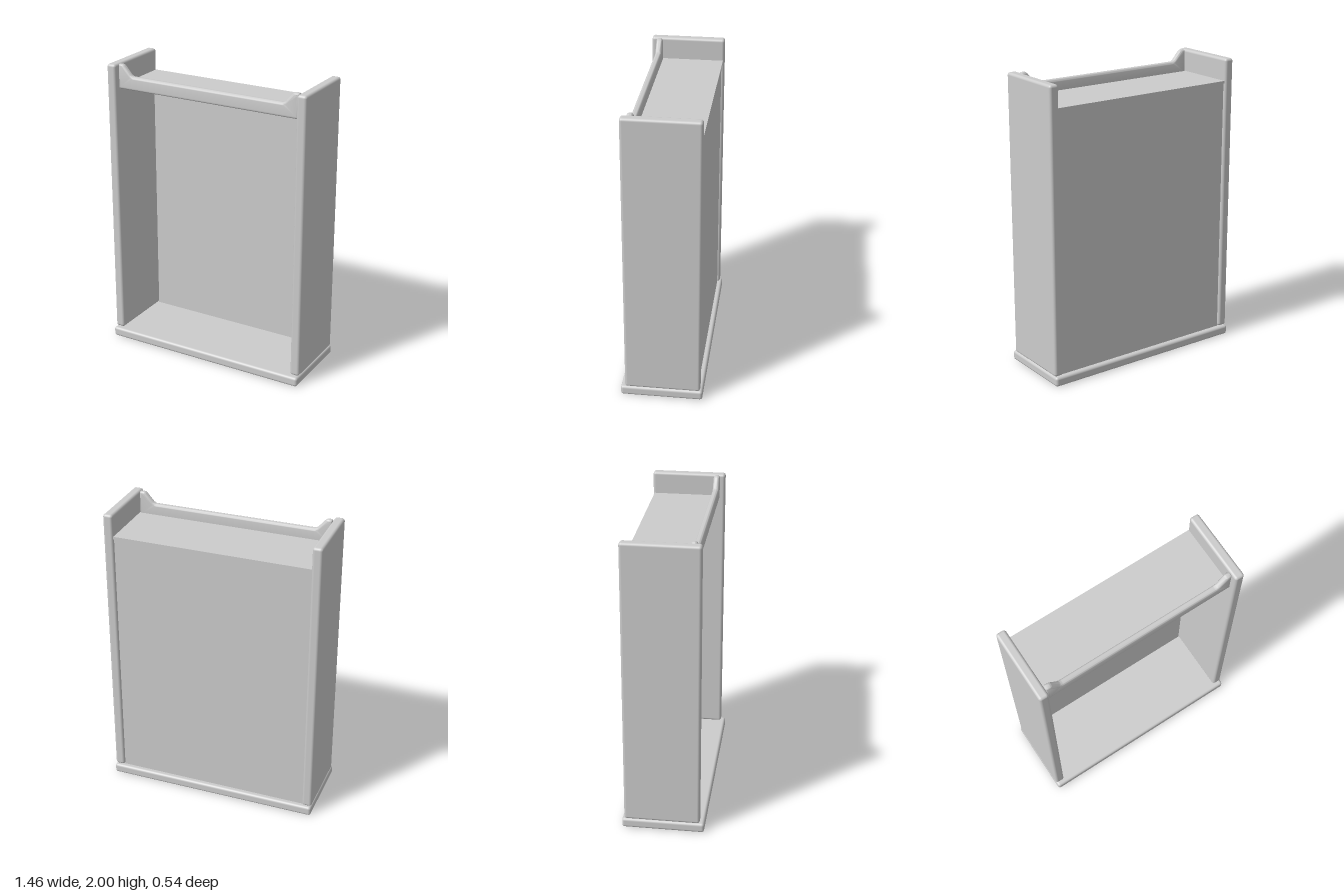
import * as THREE from 'three';
import { RoundedBoxGeometry } from 'three/addons/geometries/RoundedBoxGeometry.js';
import { toCreasedNormals } from 'three/addons/utils/BufferGeometryUtils.js';

export function createModel() {
  const group = new THREE.Group();
  const material = new THREE.MeshStandardMaterial({ color: 0xcccccc });

  const add = (name, geometry) => {
    const mesh = new THREE.Mesh(geometry, material);
    mesh.name = name;
    group.add(mesh);
    return mesh;
  };

  // Box given by its minimum and maximum corners, rounded when a radius is set
  const board = (name, [x0, y0, z0], [x1, y1, z1], radius = 0) => {
    const size = [x1 - x0, y1 - y0, z1 - z0];
    const geometry = radius
      ? new RoundedBoxGeometry(...size, 4, radius)
      : new THREE.BoxGeometry(...size);
    add(name, geometry).position.set((x0 + x1) / 2, (y0 + y1) / 2, (z0 + z1) / 2);
  };

  // Base slab, slightly deeper than the case
  board('base', [-0.73, 0, -0.272], [0.73, 0.066, 0.272], 0.018);

  // Upright side panels
  board('rightSide', [-0.73, 0.067, -0.257], [-0.664, 2, 0.243], 0.018);
  board('leftSide', [0.664, 0.067, -0.257], [0.73, 2, 0.243], 0.018);

  // Thin back and top panels; the top overhangs the back a little
  board('backPanel', [-0.666, 0.06, -0.238], [0.666, 1.835, -0.222]);
  board('topPanel', [-0.666, 1.833, -0.248], [0.666, 1.851, 0.185]);

  // Front rail with raised ends and a rounded edge
  const w = 0.664, low = 1.832, mid = 1.926, high = 2;
  const shape = new THREE.Shape();
  shape.moveTo(-w, low);
  shape.lineTo(w, low);
  shape.lineTo(w, high - 0.012);
  shape.quadraticCurveTo(w, high, w - 0.012, high);
  shape.lineTo(0.638, high);
  shape.quadraticCurveTo(0.626, high, 0.617, high - 0.009);
  shape.lineTo(0.57, mid + 0.011);
  shape.quadraticCurveTo(0.559, mid, 0.545, mid);
  shape.lineTo(-0.545, mid);
  shape.quadraticCurveTo(-0.559, mid, -0.57, mid + 0.011);
  shape.lineTo(-0.617, high - 0.009);
  shape.quadraticCurveTo(-0.626, high, -0.638, high);
  shape.lineTo(-w + 0.012, high);
  shape.quadraticCurveTo(-w, high, -w, high - 0.012);
  shape.closePath();
  const bevel = 0.018;
  const rail = new THREE.ExtrudeGeometry(shape, {
    depth: 0.006, curveSegments: 4, bevelEnabled: true, bevelSegments: 5,
    bevelSize: bevel, bevelThickness: bevel, bevelOffset: -bevel,
  });
  add('frontRail', toCreasedNormals(rail, 0.7)).position.z = 0.185;

  return group;
}
